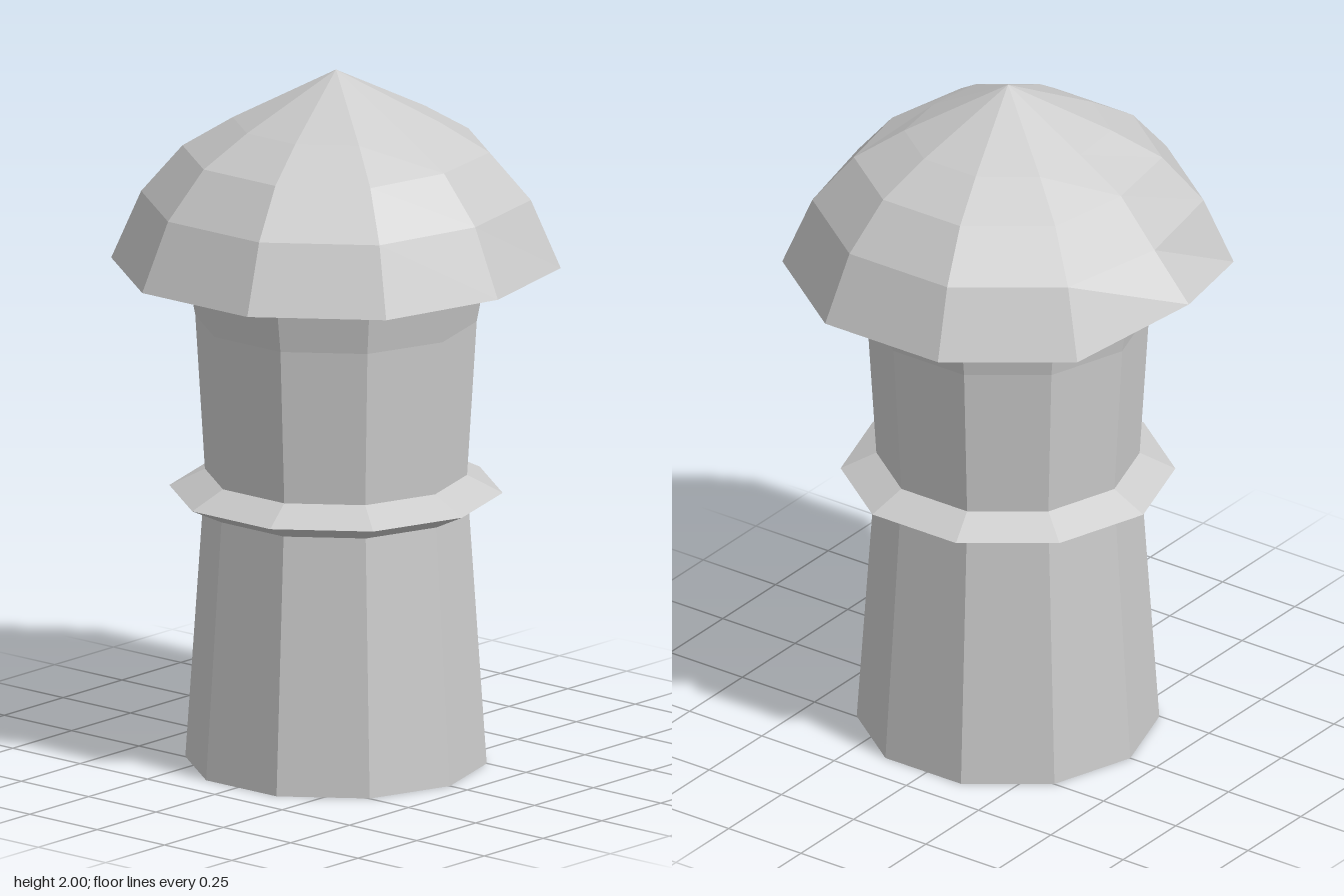
import * as THREE from 'three';

const SIDES = 10;
const material = new THREE.MeshStandardMaterial({ color: 0xcccccc, flatShading: true });

// Ten-sided solid of revolution from [radius, height] pairs, bottom to top
function turned(name, profile) {
  const points = profile.map(([r, y]) => new THREE.Vector2(r, y));
  const mesh = new THREE.Mesh(new THREE.LatheGeometry(points, SIDES), material);
  mesh.name = name;
  return mesh;
}

// Push the front and back ridges of the cap inwards and lift the back of its rim
function dentCap(geometry) {
  const pos = geometry.attributes.position;
  for (let i = 0; i < pos.count; i++) {
    const x = pos.getX(i), y = pos.getY(i), z = pos.getZ(i);
    if (Math.abs(x) > 0.001 || Math.abs(z) < 0.2 || Math.abs(z) < 0.425 && y < 1.5) continue;
    if (z > 0) {
      pos.setZ(i, z - 0.03);
    } else if (y < 1.5) {
      pos.setXYZ(i, x, 1.5, z + 0.005);
    } else {
      pos.setZ(i, z + 0.04);
    }
  }
  geometry.computeVertexNormals();
}

export function createModel() {
  const group = new THREE.Group();
  group.name = 'bollard';

  // Tapered foot, closed underneath
  const base = turned('lowerPost', [[0, 0], [0.423, 0], [0.373, 0.74]]);

  // Sharp-edged band around the waist
  const collar = turned('collar', [[0.373, 0.74], [0.468, 0.785], [0.368, 0.835]]);

  // Neck flaring towards the cap
  const neck = turned('upperPost', [[0.368, 0.835], [0.395, 1.28], [0.425, 1.44]]);

  // Domed cap with a flat underside
  const cap = turned('cap', [
    [0, 1.44], [0.42, 1.44], [0.631, 1.44], [0.547, 1.635],
    [0.431, 1.77], [0.29, 1.855], [0, 2],
  ]);
  dentCap(cap.geometry);

  for (const part of [base, collar, neck, cap]) {
    part.position.z = 0.013;
    group.add(part);
  }
  return group;
}
